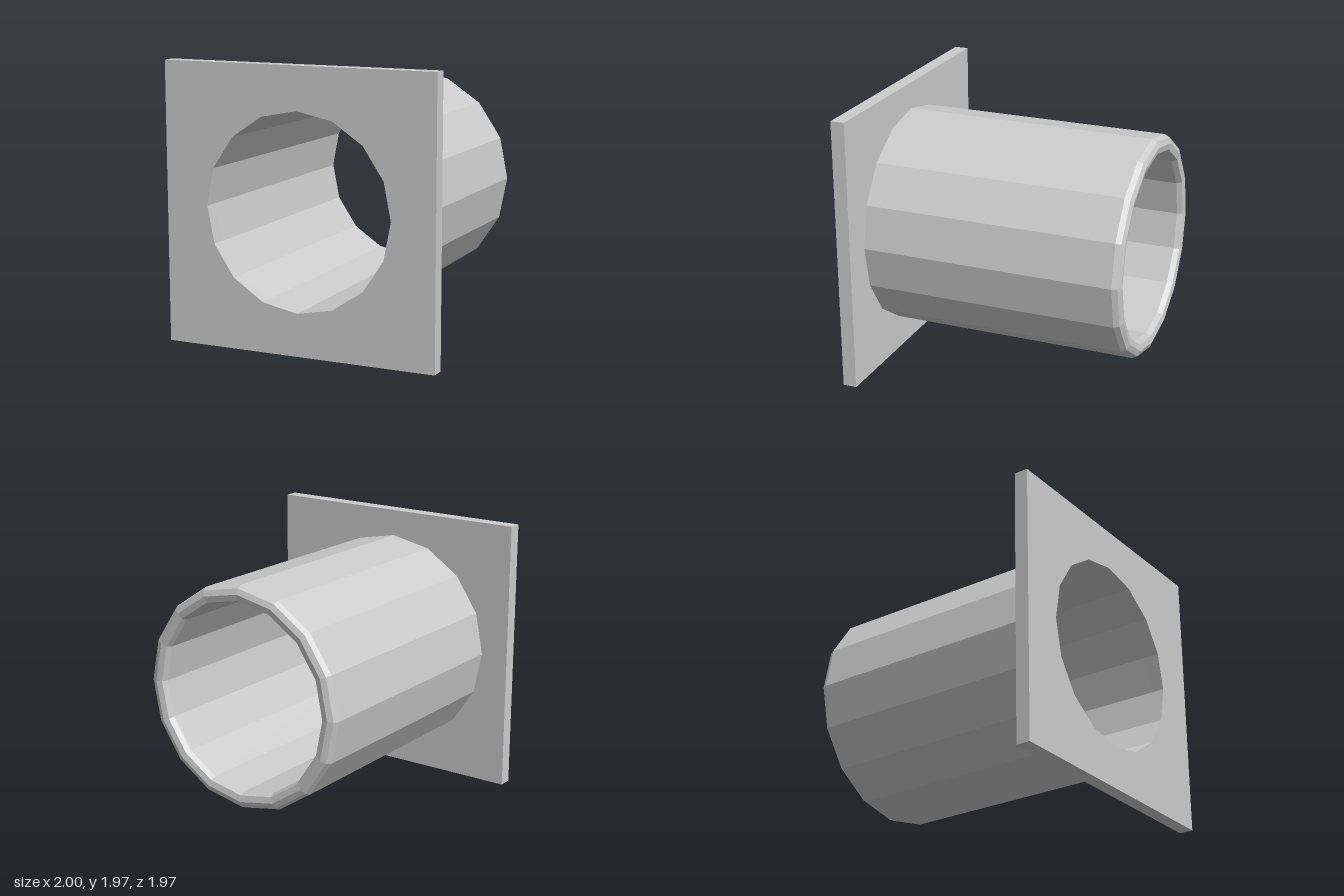
import * as THREE from 'three';

const SIDES = 16;
const CENTER_Y = 0.985;
const PLATE_BACK = 0.885;
const PLATE_FRONT = 0.985;
const BORE = 0.685;

export function createModel() {
  const group = new THREE.Group();
  group.name = 'flangedPipe';
  const material = new THREE.MeshStandardMaterial({ color: 0xcccccc, flatShading: true });

  const add = (name, geometry) => {
    const mesh = new THREE.Mesh(geometry, material);
    mesh.name = name;
    mesh.position.y = CENTER_Y;
    group.add(mesh);
    return mesh;
  };

  // Square mounting plate with a faceted round opening
  const outline = new THREE.Shape([
    new THREE.Vector2(-1, -CENTER_Y),
    new THREE.Vector2(1, -CENTER_Y),
    new THREE.Vector2(1, CENTER_Y),
    new THREE.Vector2(-1, CENTER_Y),
  ]);
  const holePoints = [];
  for (let i = 0; i < SIDES; i++) {
    const a = (-i / SIDES) * Math.PI * 2;
    holePoints.push(new THREE.Vector2(Math.cos(a) * BORE, Math.sin(a) * BORE));
  }
  outline.holes.push(new THREE.Path(holePoints));
  const plate = new THREE.ExtrudeGeometry(outline, {
    depth: PLATE_FRONT - PLATE_BACK,
    bevelEnabled: false,
  });
  add('mountingPlate', plate).position.z = PLATE_BACK;

  // Hollow pipe: bore from front to back, rounded rim, then outer wall to the plate
  const profile = [
    [BORE, PLATE_BACK],
    [0.672, -0.94],
    [0.69, -0.978],
    [0.735, -0.988],
    [0.775, -0.972],
    [0.793, -0.935],
    [0.793, PLATE_BACK],
  ].map(([r, z]) => new THREE.Vector2(r, z));
  const pipe = new THREE.LatheGeometry(profile, SIDES);
  pipe.rotateX(Math.PI / 2);
  add('pipe', pipe);

  return group;
}
